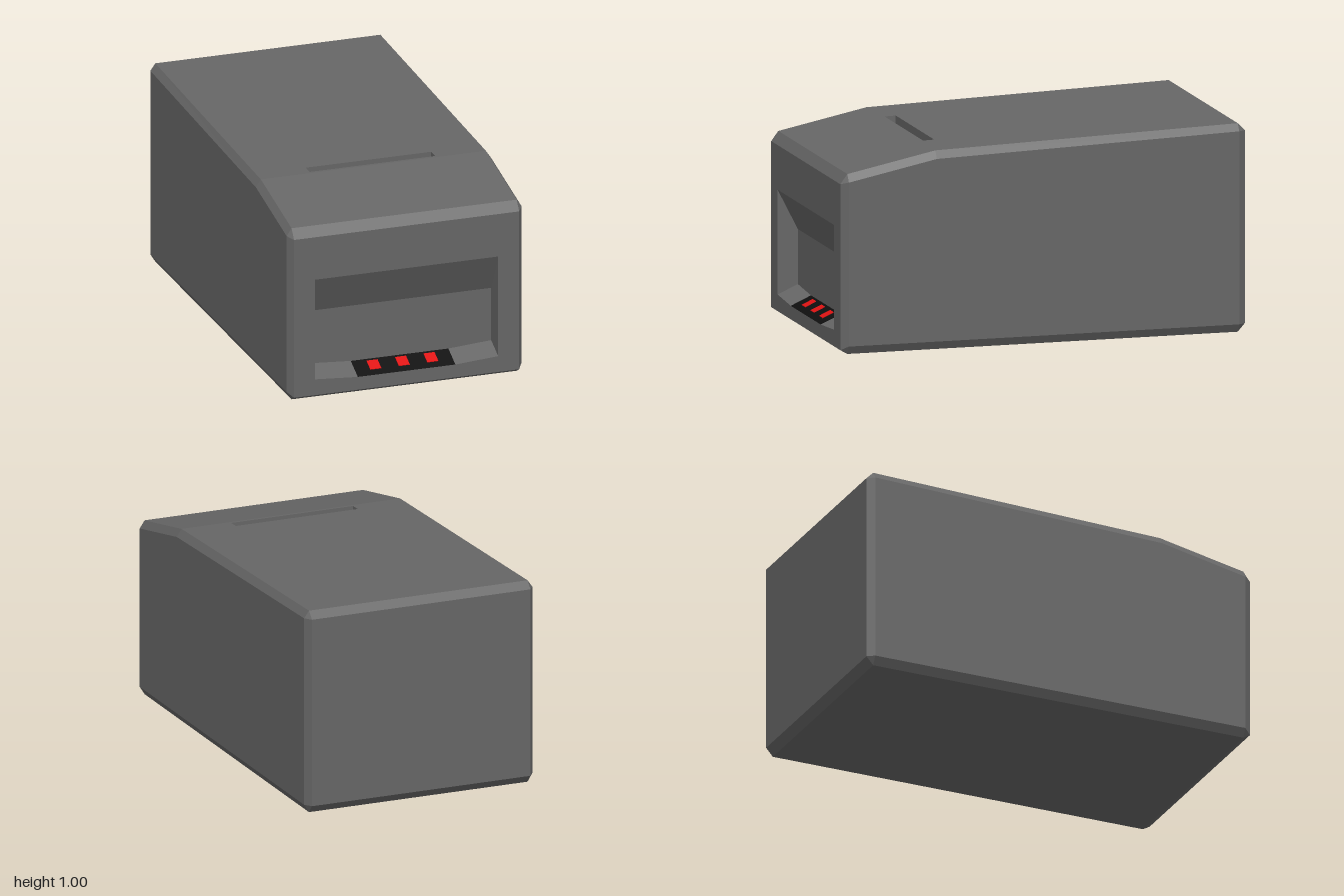
import * as THREE from 'three';

const casing = new THREE.MeshStandardMaterial({ color: 0x666666 });
casing.name = 'casing grey';
const black = new THREE.MeshStandardMaterial({ color: 0x0f0f0f });
black.name = 'panel black';
const red = new THREE.MeshStandardMaterial({ color: 0xe01212 });
red.name = 'light red';

// Flat-shaded geometry from convex polygons, each a counter-clockwise list of [x, y, z]
function facets(polygons) {
  const positions = [];
  for (const p of polygons)
    for (let i = 1; i < p.length - 1; i++) positions.push(...p[0], ...p[i], ...p[i + 1]);
  const geometry = new THREE.BufferGeometry();
  geometry.setAttribute('position', new THREE.Float32BufferAttribute(positions, 3));
  geometry.computeVertexNormals();
  return geometry;
}

// Flat panel with a hole, drawn in (u, v) and carried into place by a rule
function piercedPanel(outline, hole, place) {
  const toPoints = (list) => list.map(([u, v]) => new THREE.Vector2(u, v));
  const shape = new THREE.Shape(toPoints(outline));
  shape.holes.push(new THREE.Path(toPoints(hole)));
  const geometry = new THREE.ShapeGeometry(shape);
  const pos = geometry.attributes.position;
  for (let i = 0; i < pos.count; i++) pos.setXYZ(i, ...place(pos.getX(i), pos.getY(i)));
  geometry.computeVertexNormals();
  return geometry;
}

// Walls joining a rim to a floor of the same number of corners
function pocketWalls(rim, floor) {
  return rim.map((p, i) => {
    const j = (i + 1) % rim.length;
    return [p, rim[j], floor[j], floor[i]];
  });
}

export function createModel() {
  const model = new THREE.Group();
  const add = (name, geometry, material) => {
    const mesh = new THREE.Mesh(geometry, material);
    mesh.name = name;
    model.add(mesh);
    return mesh;
  };

  // Side profiles as [z, y]: full section, and the smaller section at the outer sides
  const A = [[1, 0.02], [1, 0.82], [0.965, 0.867], [0.53, 0.957], [-0.965, 1.005],
    [-1, 0.97], [-1, 0.04], [-0.965, 0], [0.965, 0]];
  const B = [[0.965, 0.04], [0.965, 0.83], [0.965, 0.83], [0.53, 0.92], [-0.965, 0.97],
    [-0.965, 0.97], [-0.965, 0.04], [-0.965, 0.04], [0.965, 0.04]];
  const inner = 0.565, outer = 0.59;
  const at = (x, [z, y]) => [x, y, z];

  // Casing: bands across the width, bevels, and side walls
  const bands = [], bevels = [];
  A.forEach((a, i) => {
    const j = (i + 1) % A.length;
    const isFront = i === 0, isTop = i === 3;
    if (!isFront && !isTop)
      bands.push([at(-inner, a), at(inner, a), at(inner, A[j]), at(-inner, A[j])]);
    bevels.push([at(inner, a), at(outer, B[i]), at(outer, B[j]), at(inner, A[j])]);
    bevels.push([at(-outer, B[i]), at(-inner, a), at(-inner, A[j]), at(-outer, B[j])]);
  });
  add('casing', facets(bands), casing);
  add('sideBevels', facets(bevels), casing);
  const side = [0, 1, 3, 4, 6].map((i) => B[i]);
  add('rightSide', facets([side.map((p) => at(-outer, p))]), casing);
  add('leftSide', facets([side.map((p) => at(outer, p)).reverse()]), casing);

  // Front panel with its recess
  const mouth = [[-0.46, 0.1], [-0.245, 0.085], [0.245, 0.085], [0.46, 0.1], [0.46, 0.605], [-0.46, 0.605]];
  const recess = [[-0.46, 0.145], [-0.245, 0.13], [0.245, 0.13], [0.46, 0.145], [0.46, 0.41], [-0.46, 0.41]];
  const rim = mouth.map(([x, y]) => [x, y, 1]);
  const back = recess.map(([x, y]) => [x, y, 0.9]);
  add('frontPanel', piercedPanel(
    [[-inner, 0.02], [inner, 0.02], [inner, 0.82], [-inner, 0.82]], mouth, (x, y) => [x, y, 1]), casing);
  const walls = pocketWalls(rim, back);
  const [sill] = walls.splice(1, 1);
  add('recessWalls', facets(walls), casing);
  add('recessBack', facets([back]), casing);
  add('indicatorPanel', facets([sill]), black);

  // Indicator lights lying on the sloping sill
  for (const x of [-0.143, 0, 0.143]) {
    const light = add('indicatorLight', new THREE.BoxGeometry(0.055, 0.006, 0.06), red);
    light.position.set(x, 0.112, 0.94);
    light.rotation.x = Math.atan2(0.045, 0.1);
  }

  // Sloping lid with a paper slot
  const lidY = (z) => 0.957 + (0.53 - z) * (0.048 / 1.495);
  const slot = [[-0.315, -0.515], [0.315, -0.515], [0.315, -0.46], [-0.315, -0.46]];
  add('lid', piercedPanel(
    [[-inner, -0.53], [inner, -0.53], [inner, 0.965], [-inner, 0.965]], slot,
    (x, v) => [x, lidY(-v), -v]), casing);
  const slotRim = slot.map(([x, v]) => [x, lidY(-v), -v]);
  const slotFloor = slotRim.map(([x, y, z]) => [x, y - 0.05, z]);
  add('paperSlot', facets([...pocketWalls(slotRim, slotFloor), slotFloor]), casing);

  return model;
}
